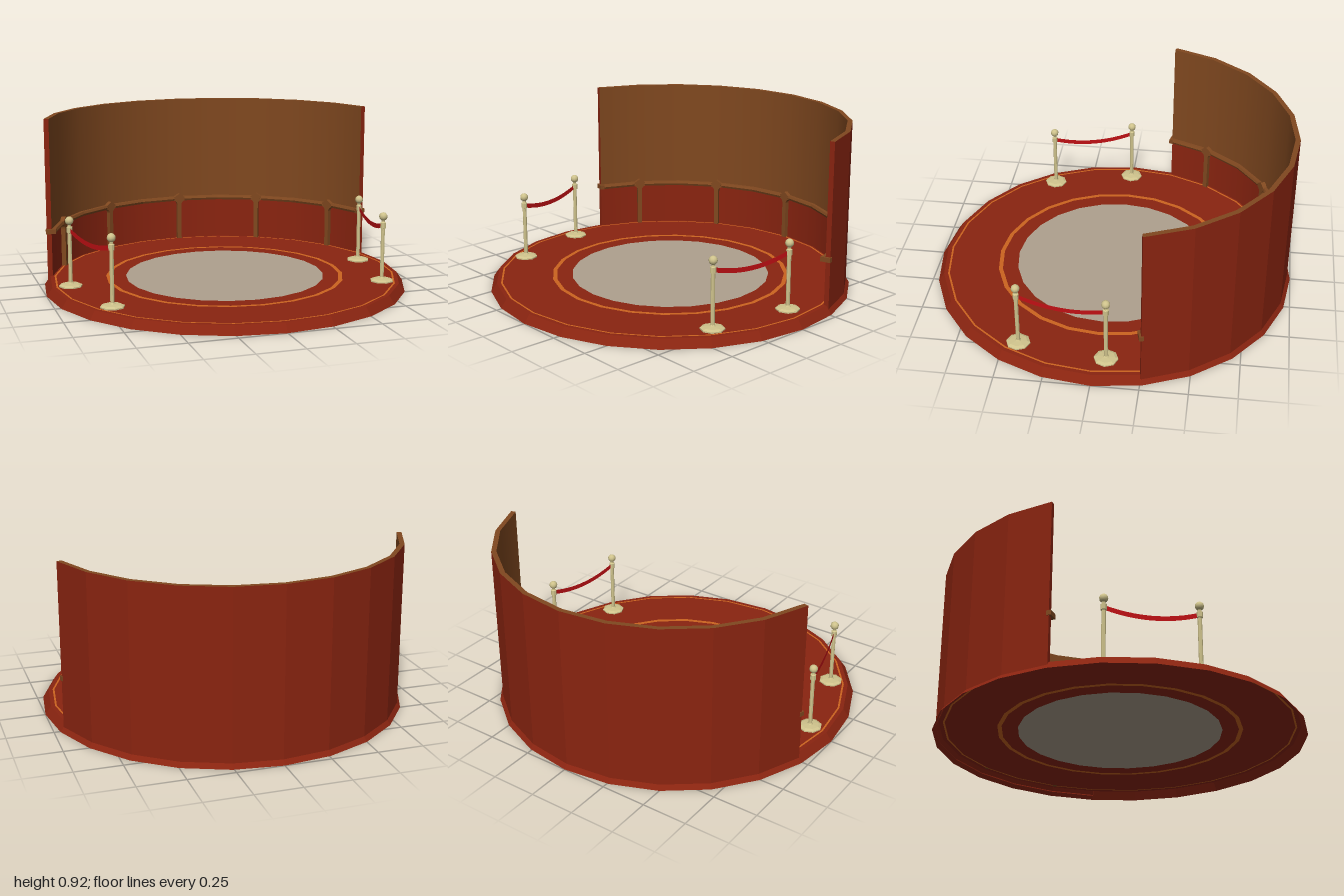
import * as THREE from 'three';

const D = Math.PI / 180;
const ARC_START = 105 * D, ARC = 150 * D; // wall sweep around the back

const mat = (name, color) => new THREE.MeshStandardMaterial({ name, color, side: THREE.DoubleSide });

const flat = (geo) => {
  const g = geo.index ? geo.toNonIndexed() : geo;
  g.computeVertexNormals();
  return g;
};

export function createModel() {
  const red = mat('dark red', 0x8a2410);
  const brown = mat('wood brown', 0x80481f);
  const orange = mat('trim orange', 0xcc641f);
  const grey = mat('stage grey', 0xaea08e);
  const brass = mat('pale brass', 0xcfc38c);
  const ropeRed = mat('rope red', 0xc01014);

  const model = new THREE.Group();
  model.name = 'roundStage';

  const add = (parent, name, geo, material) => {
    const m = new THREE.Mesh(geo, material);
    m.name = name;
    parent.add(m);
    return m;
  };

  // Round base: open sloped rim and a floor made of concentric bands
  const FLOOR = 0.045;
  add(model, 'baseRim', flat(new THREE.CylinderGeometry(0.968, 1, FLOOR, 24, 1, true)), red).position.y = FLOOR / 2;
  const band = (name, inner, outer, material) => {
    const g = inner ? new THREE.RingGeometry(inner, outer, 24, 1) : new THREE.CircleGeometry(outer, 24);
    add(model, name, g.rotateX(-Math.PI / 2), material).position.y = FLOOR;
  };
  band('centreDisc', 0, 0.55, grey);
  band('innerFloor', 0.55, 0.637, red);
  band('innerTrimRing', 0.637, 0.66, orange);
  band('outerFloor', 0.66, 0.936, red);
  band('outerTrimRing', 0.936, 0.946, orange);
  band('floorEdge', 0.946, 0.968, red);

  // Curved back wall
  const wall = new THREE.Group();
  wall.name = 'backWall';
  model.add(wall);
  const R_OUT = 0.982, R_IN = 0.955, TOP = 0.922, RAIL = 0.29;
  const arcSheet = (r, y0, y1) =>
    new THREE.CylinderGeometry(r, r, y1 - y0, 10, 1, true, ARC_START, ARC).translate(0, (y0 + y1) / 2, 0);
  add(wall, 'wallOutside', flat(arcSheet(R_OUT, 0.02, TOP)), red);
  add(wall, 'wallInside', arcSheet(R_IN, RAIL, TOP), brown);
  add(wall, 'wainscot', arcSheet(R_IN, FLOOR, RAIL), red);
  add(wall, 'wallTop', new THREE.RingGeometry(R_IN, R_OUT, 10, 1, 15 * D, ARC).rotateX(-Math.PI / 2), brown).position.y = TOP;

  // Wall ends and the rail stops on them
  for (const a of [15, 165]) {
    const end = new THREE.Group();
    end.name = a < 90 ? 'leftWallEnd' : 'rightWallEnd';
    end.rotation.y = a * D;
    wall.add(end);
    add(end, 'endFace', new THREE.PlaneGeometry(R_OUT - R_IN, TOP - 0.02), red)
      .position.set((R_IN + R_OUT) / 2, (TOP + 0.02) / 2, 0);
    add(end, 'railStop', new THREE.BoxGeometry(0.056, 0.026, 0.024), brown).position.set(0.958, 0.298, 0);
  }

  // Rail along the inside of the wall
  const railProfile = [[0.955, 0.285], [0.936, 0.285], [0.93, 0.298], [0.936, 0.311], [0.955, 0.311]]
    .map(([x, y]) => new THREE.Vector2(x, y));
  add(wall, 'rail', flat(new THREE.LatheGeometry(railProfile, 10, ARC_START, ARC)), brown);

  // Flared posts dividing the wainscot
  const s = new THREE.Shape();
  s.moveTo(-0.013, FLOOR);
  s.lineTo(0.013, FLOOR);
  s.lineTo(0.013, 0.262);
  s.quadraticCurveTo(0.015, 0.282, 0.034, 0.287);
  s.lineTo(0.034, 0.308);
  s.lineTo(0, 0.33);
  s.lineTo(-0.034, 0.308);
  s.lineTo(-0.034, 0.287);
  s.quadraticCurveTo(-0.015, 0.282, -0.013, 0.262);
  const postGeo = new THREE.ExtrudeGeometry(s, { depth: 0.026, bevelEnabled: false, curveSegments: 4 });
  for (const deg of [-60, -30, 0, 30, 60]) {
    const a = deg * D;
    const post = add(wall, 'wallPost', postGeo, brown);
    post.position.set(0.953 * Math.sin(a), 0, -0.953 * Math.cos(a));
    post.rotation.y = -a;
  }

  // Rope stands
  const standProfile = [
    [0, 0.046], [0.064, 0.046], [0.064, 0.053], [0.048, 0.06], [0.016, 0.063], [0.011, 0.07],
    [0.011, 0.34], [0.016, 0.342], [0.016, 0.372], [0.009, 0.376], [0.009, 0.395],
  ].map(([x, y]) => new THREE.Vector2(x, y));
  const standGeo = flat(new THREE.LatheGeometry(standProfile, 8));
  const ballGeo = new THREE.SphereGeometry(0.023, 10, 8);
  const addStand = ([x, z]) => {
    const stand = new THREE.Group();
    stand.name = 'ropeStand';
    stand.position.set(x, 0, z);
    add(stand, 'pole', standGeo, brass);
    add(stand, 'ball', ballGeo, brass).position.y = 0.406;
    model.add(stand);
  };

  // Sagging flat rope between two stands
  const addRope = ([x0, z0], [x1, z1]) => {
    const g = new THREE.PlaneGeometry(1, 0.026, 12, 1);
    const p = g.attributes.position;
    for (let i = 0; i < p.count; i++) {
      const t = p.getX(i) + 0.5;
      const sag = 0.038 * 4 * t * (1 - t);
      p.setXYZ(i, x0 + (x1 - x0) * t, 0.357 - sag + p.getY(i), z0 + (z1 - z0) * t);
    }
    g.computeVertexNormals();
    add(model, 'rope', g, ropeRed);
  };

  for (const [a, b] of [[[-0.868, 0], [-0.742, 0.46]], [[0.838, -0.062], [0.77, 0.41]]]) {
    addStand(a);
    addStand(b);
    addRope(a, b);
  }
  return model;
}
